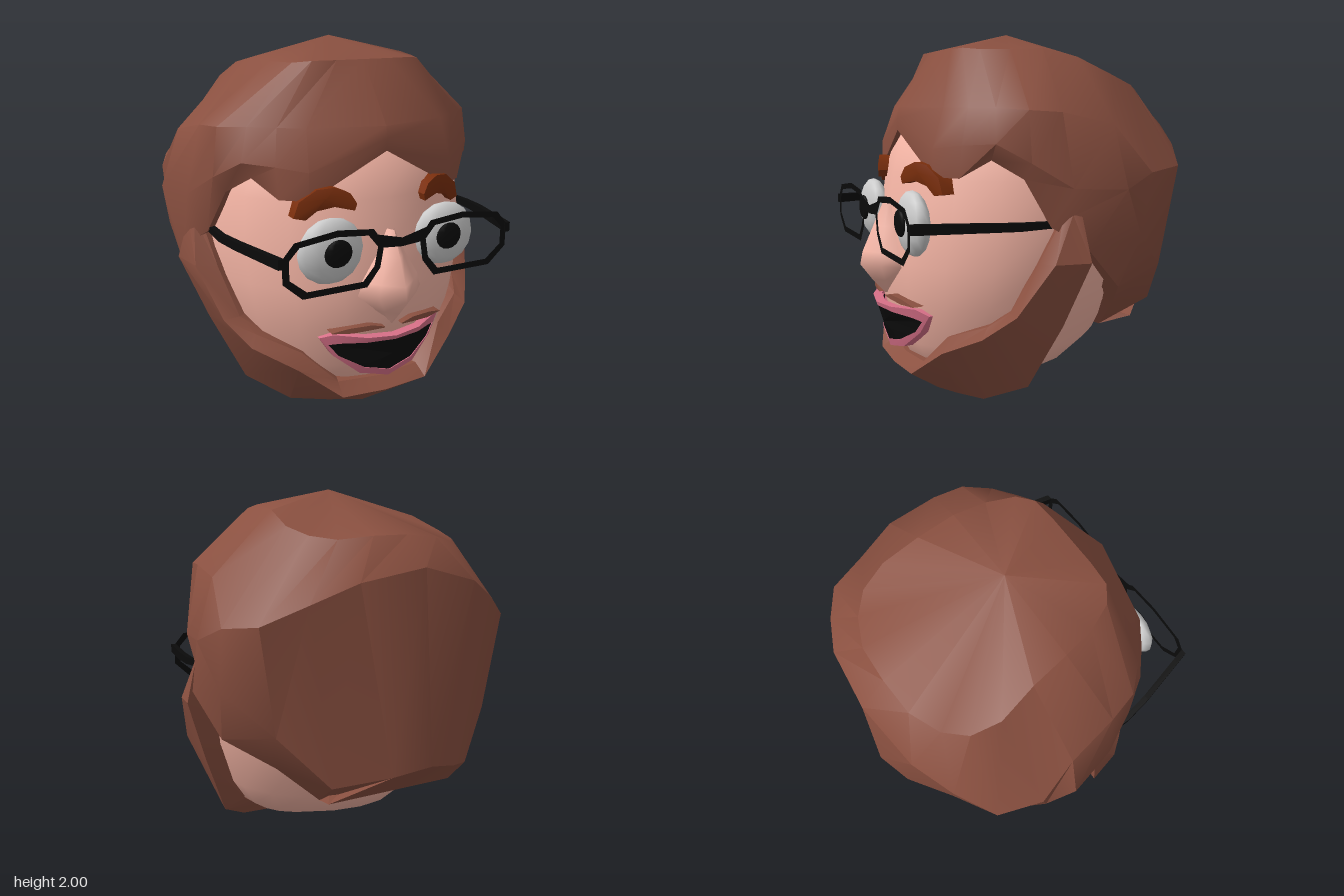
import * as THREE from 'three';
import { toCreasedNormals } from 'three/addons/utils/BufferGeometryUtils.js';

const HAIR = 0x8a5040, SKIN = 0xf5b5a5, BROW = 0x7a2e0c, LIP = 0xd87088, BLACK = 0x0a0a0a;

// Skin a grid of rows (top to bottom) whose points run towards +x on the front
function loft(rows, closed = false) {
  const n = rows[0].length, index = [];
  for (let i = 0; i < rows.length - 1; i++) {
    for (let j = 0; j < (closed ? n : n - 1); j++) {
      const k = (j + 1) % n, a = i * n + j, b = i * n + k, c = a + n, d = b + n;
      index.push(a, c, b, b, c, d);
    }
  }
  const geo = new THREE.BufferGeometry();
  geo.setAttribute('position', new THREE.Float32BufferAttribute(rows.flat(2), 3));
  geo.setIndex(index);
  geo.computeVertexNormals();
  return geo;
}

const flipPoint = ([x, ...rest]) => [-x, ...rest];
// Half a loop, starting and ending on x = 0, completed by its mirror image
const ring = (half) => [...half, ...half.slice(1, -1).reverse().map(flipPoint)];
// A whole row from its +x half, ordered from the centre outwards
const span = (half) => [...half.slice(1).reverse().map(flipPoint), ...half];
const flipRows = (rows) => rows.map((r) => r.map(flipPoint).reverse());
const fill = (row, p) => row.map(() => p);

export function createModel() {
  const model = new THREE.Group();

  function add(name, geo, color, crease = 0) {
    const mat = new THREE.MeshStandardMaterial({ color, side: THREE.DoubleSide });
    const mesh = new THREE.Mesh(crease ? toCreasedNormals(geo, crease) : geo, mat);
    mesh.name = name;
    model.add(mesh);
    return mesh;
  }
  function addPair(name, rows, closed, color, crease) {
    add('left' + name, loft(rows, closed), color, crease);
    add('right' + name, loft(flipRows(rows), closed), color, crease);
  }

  // Head: elliptical sections [y, half width, front z, back z]
  const sections = [
    [1.75, 0.3, 0.3, -0.4], [1.5, 0.64, 0.64, -0.62], [1.25, 0.73, 0.71, -0.66],
    [1.0, 0.75, 0.75, -0.66], [0.8, 0.73, 0.77, -0.63], [0.6, 0.69, 0.76, -0.57],
    [0.35, 0.58, 0.69, -0.46], [0.22, 0.48, 0.62, -0.3], [0.12, 0.33, 0.52, 0], [0.02, 0.06, 0.38, 0.28],
  ];
  const headRows = sections.map(([y, w, f, b]) => Array.from({ length: 18 }, (_, i) => {
    const t = (i / 18) * Math.PI * 2;
    return [w * Math.sin(t), y, (f + b) / 2 + ((f - b) / 2) * Math.cos(t)];
  }));
  headRows.unshift(fill(headRows[0], [0, 1.8, 0]));
  headRows.push(fill(headRows[0], [0, 0.015, 0.32]));
  add('head', loft(headRows, true), SKIN);

  // Hair: crown, brow, side and hairline loops, each from front to back
  const crown = [
    [0, 1.9, 0.43], [0.15, 1.9, 0.43], [0.28, 1.9, 0.42], [0.36, 1.89, 0.36], [0.42, 1.89, 0.22], [0.45, 1.9, 0.05],
    [0.47, 1.86, -0.15], [0.5, 1.77, -0.35], [0.46, 1.72, -0.5], [0.36, 1.7, -0.6], [0.2, 1.72, -0.67], [0, 1.73, -0.68],
  ];
  const upper = [
    [0, 1.6, 0.67], [0.38, 1.6, 0.57], [0.5, 1.6, 0.49], [0.62, 1.6, 0.4], [0.73, 1.59, 0.28], [0.77, 1.58, 0.12],
    [0.81, 1.52, -0.15], [0.86, 1.28, -0.35], [0.78, 1.3, -0.58], [0.58, 1.4, -0.7], [0.36, 1.5, -0.79], [0, 1.57, -0.83],
  ];
  const lower = [
    [0, 1.54, 0.68], [0.4, 1.4, 0.64], [0.53, 1.42, 0.54], [0.66, 1.43, 0.42], [0.76, 1.34, 0.28], [0.85, 1.22, 0.1],
    [0.91, 1.21, -0.17], [0.85, 0.96, -0.3], [0.68, 0.76, -0.55], [0.44, 0.5, -0.67], [0.2, 0.56, -0.84], [0, 0.6, -0.9],
  ];
  const hairline = [
    [0, 1.48, 0.68], [0.4, 1.26, 0.64], [0.52, 1.26, 0.55], [0.61, 1.35, 0.42], [0.7, 1.26, 0.29], [0.77, 1.03, 0.18],
    [0.86, 0.92, 0.02], [0.8, 0.7, -0.2], [0.56, 0.54, -0.34], [0.34, 0.35, -0.4], [0.4, 0.39, -0.58], [0, 0.39, -0.58],
  ];
  const tucked = hairline.map(([x, y, z]) => [x * 0.88, y + 0.02, z * 0.88]);
  const hairRows = [crown, upper, lower, hairline, tucked].map(ring);
  hairRows.unshift(fill(hairRows[0], [0, 2, 0.03]));
  add('hair', loft(hairRows, true), HAIR, 0.6);

  // Beard: face edge, ridge and jaw edge from chin to sideburn, tucked into the head
  const faceEdge = [[0, 0.25, 0.66], [0.24, 0.26, 0.64], [0.42, 0.44, 0.58], [0.62, 0.53, 0.45], [0.67, 0.6, 0.35], [0.74, 0.85, 0.23], [0.78, 1.07, 0.12]];
  const ridge = [[0, 0.2, 0.73], [0.25, 0.21, 0.72], [0.46, 0.37, 0.63], [0.66, 0.48, 0.5], [0.76, 0.6, 0.36], [0.85, 0.86, 0.2], [0.81, 1.09, 0.08]];
  const jaw = [[0, 0, 0.47], [0.2, 0.03, 0.43], [0.4, 0.06, 0.37], [0.6, 0.17, 0.21], [0.76, 0.52, 0.1], [0.89, 0.86, 0.02], [0.83, 1.08, 0.04]];
  const under = jaw.map(([x, y, z]) => [x * 0.8, y + 0.05, z * 0.92]);
  const inner = faceEdge.map(([x, y, z]) => [x * 0.92, y, z * 0.9]);
  add('beard', loft([inner, faceEdge, ridge, jaw, under].map(span)), HAIR, 0.5);

  // Nose: sections [y, half width, ridge z]
  const nose = [[1.1, 0.02, 0.77], [0.97, 0.09, 0.83], [0.84, 0.17, 0.89], [0.77, 0.19, 0.905], [0.68, 0.1, 0.84], [0.6, 0.01, 0.77]]
    .map(([y, w, z]) => span([[0, y, z], [w * 0.55, y, z * 0.55 + 0.325], [w, y, 0.73], [w * 0.9, y, 0.66]]));
  add('nose', loft(nose), SKIN);

  // Eyes and pupils
  for (const [side, s] of [['left', 1], ['right', -1]]) {
    const eye = add(side + 'Eye', new THREE.SphereGeometry(1, 12, 8), 0xcccccc);
    eye.scale.set(0.178, 0.168, 0.07);
    eye.position.set(s * 0.325, 1.025, 0.72);
    const pupil = add(side + 'Pupil', new THREE.SphereGeometry(1, 12, 8), BLACK);
    pupil.scale.set(0.075, 0.07, 0.02);
    pupil.position.set(s * 0.315, 1.03, 0.785);
  }

  // Eyebrows: arched slabs that slope back towards the temples
  const browEdge = [[0.2, 1.215], [0.19, 1.25], [0.22, 1.3], [0.29, 1.33], [0.37, 1.32], [0.45, 1.26], [0.475, 1.18], [0.42, 1.17], [0.37, 1.215], [0.29, 1.235]];
  const brow = [-0.08, 0].map((dz) => browEdge.map(([x, y]) => [x, y, 0.73 - 0.4 * (x - 0.2) + dz]));
  addPair('Eyebrow', [...brow, fill(browEdge, [0.33, 1.28, 0.69])], true, BROW, 0.7);

  // Moustache halves
  const hairZ = (x) => 0.79 - 0.6 * x * x;
  const whisker = [[[0.05, 0.6], [0.12, 0.618], [0.24, 0.612], [0.32, 0.592]], [[0.05, 0.595], [0.12, 0.592], [0.22, 0.585], [0.32, 0.588]]];
  const front = whisker.map((r) => r.map(([x, y]) => [x, y, hairZ(x)]));
  const back = whisker.map((r) => r.map(([x, y]) => [x, y, hairZ(x) - 0.1]));
  addPair('Moustache', [back[0], ...front, back[1]], false, HAIR, 0.5);

  // Mouth: lips bent around the face, with a dark opening
  const bend = (pts, dz) => ring(pts).map(([x, y]) => [x, y, 0.82 - 1.3 * x * x - (0.55 - y) * 0.28 + dz]);
  const lipOuter = [[0, 0.555], [0.15, 0.56], [0.3, 0.57], [0.355, 0.54], [0.29, 0.44], [0.16, 0.335], [0, 0.297]];
  const lipInner = [[0, 0.533], [0.15, 0.53], [0.27, 0.52], [0.315, 0.505], [0.265, 0.44], [0.14, 0.37], [0, 0.335]];
  add('lips', loft([bend(lipOuter, -0.05), bend(lipOuter, 0), bend(lipInner, 0), bend(lipInner, -0.03)], true), LIP, 0.6);
  const opening = bend(lipInner, -0.005);
  add('mouthOpening', loft([opening, fill(opening, [0, 0.44, 0.785])], true), BLACK);

  // Glasses: flat rims and bridge, bent square arms
  const Z = 0.845;
  const rim = [[0.1, 1.07], [0.16, 1.15], [0.35, 1.17], [0.57, 1.14], [0.63, 1.07], [0.63, 0.95], [0.53, 0.86], [0.19, 0.86], [0.12, 0.95]];
  const rimRows = [[1, 1], [0.87, 0.79]].map(([kx, ky]) => rim.map(([x, y]) => [0.365 + (x - 0.365) * kx, 1.015 + (y - 1.015) * ky, Z]));
  addPair('Rim', rimRows, true, BLACK);
  add('bridge', loft([span([[0, 1.085, Z], [0.14, 1.12, Z]]), span([[0, 1.04, Z], [0.12, 1.05, Z]])]), BLACK);
  const arm = [[0.635, 1.05, 0.85, 0.025], [0.72, 1.045, 0.5, 0.022], [0.745, 1.04, 0.34, 0.02], [0.745, 1.038, 0.15, 0.016]]
    .map(([x, y, z, h]) => [[x - 0.016, y + h, z], [x - 0.016, y - h, z], [x + 0.016, y - h, z], [x + 0.016, y + h, z]]);
  arm.unshift(fill(arm[0], [0.635, 1.05, 0.85]));
  addPair('Arm', arm, true, BLACK, 0.5);

  return model;
}
